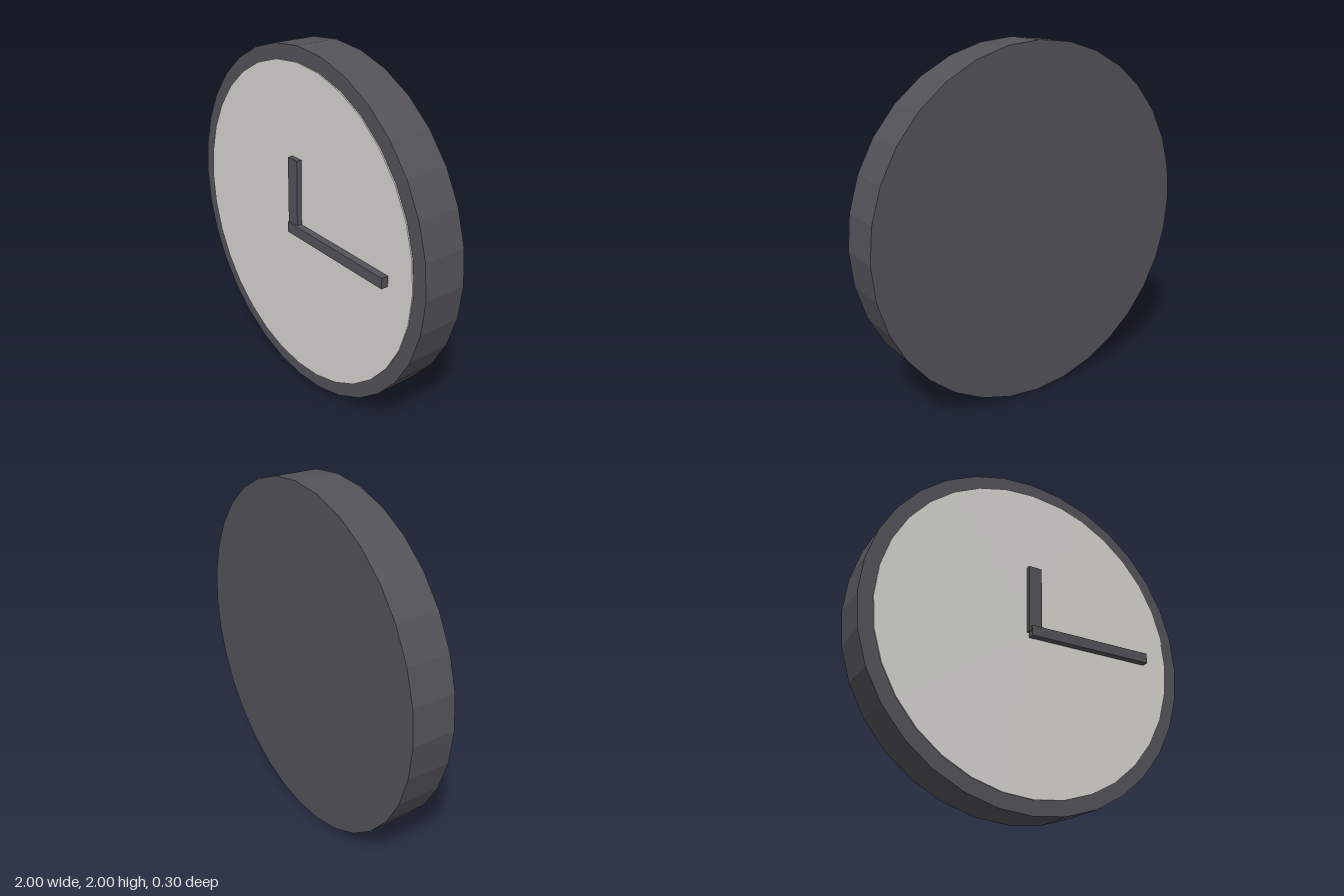
import * as THREE from 'three';

export function createModel() {
  const clock = new THREE.Group();
  clock.name = 'wallClock';

  const charcoal = new THREE.MeshStandardMaterial({ color: 0x535257 });
  charcoal.name = 'charcoal';
  charcoal.flatShading = true;
  const paleGrey = new THREE.MeshStandardMaterial({ color: 0xd6d5cf });
  paleGrey.name = 'paleGrey';
  paleGrey.flatShading = true;

  const add = (name, geometry, material) => {
    const mesh = new THREE.Mesh(geometry, material);
    mesh.name = name;
    clock.add(mesh);
  };

  // Disc facing +z, centred on the clock's axis
  const disc = (radius, back, front) =>
    new THREE.CylinderGeometry(radius, radius, front - back, 32)
      .rotateX(Math.PI / 2)
      .translate(0, 1, (back + front) / 2);

  // Bar given by its extents
  const bar = (x0, x1, y0, y1, z0, z1) =>
    new THREE.BoxGeometry(x1 - x0, y1 - y0, z1 - z0)
      .translate((x0 + x1) / 2, (y0 + y1) / 2, (z0 + z1) / 2);

  // Casing and the thin dial on its front
  add('casing', disc(1, -0.15, 0.1), charcoal);
  add('dial', disc(0.918, 0.095, 0.107), paleGrey);

  // Hands, stacked in depth
  add('hourHand', bar(-0.04, 0.04, 1, 1.405, 0.107, 0.137), charcoal);
  add('minuteHand', bar(-0.03, 0.75, 0.97, 1.03, 0.11, 0.15), charcoal);

  return clock;
}
